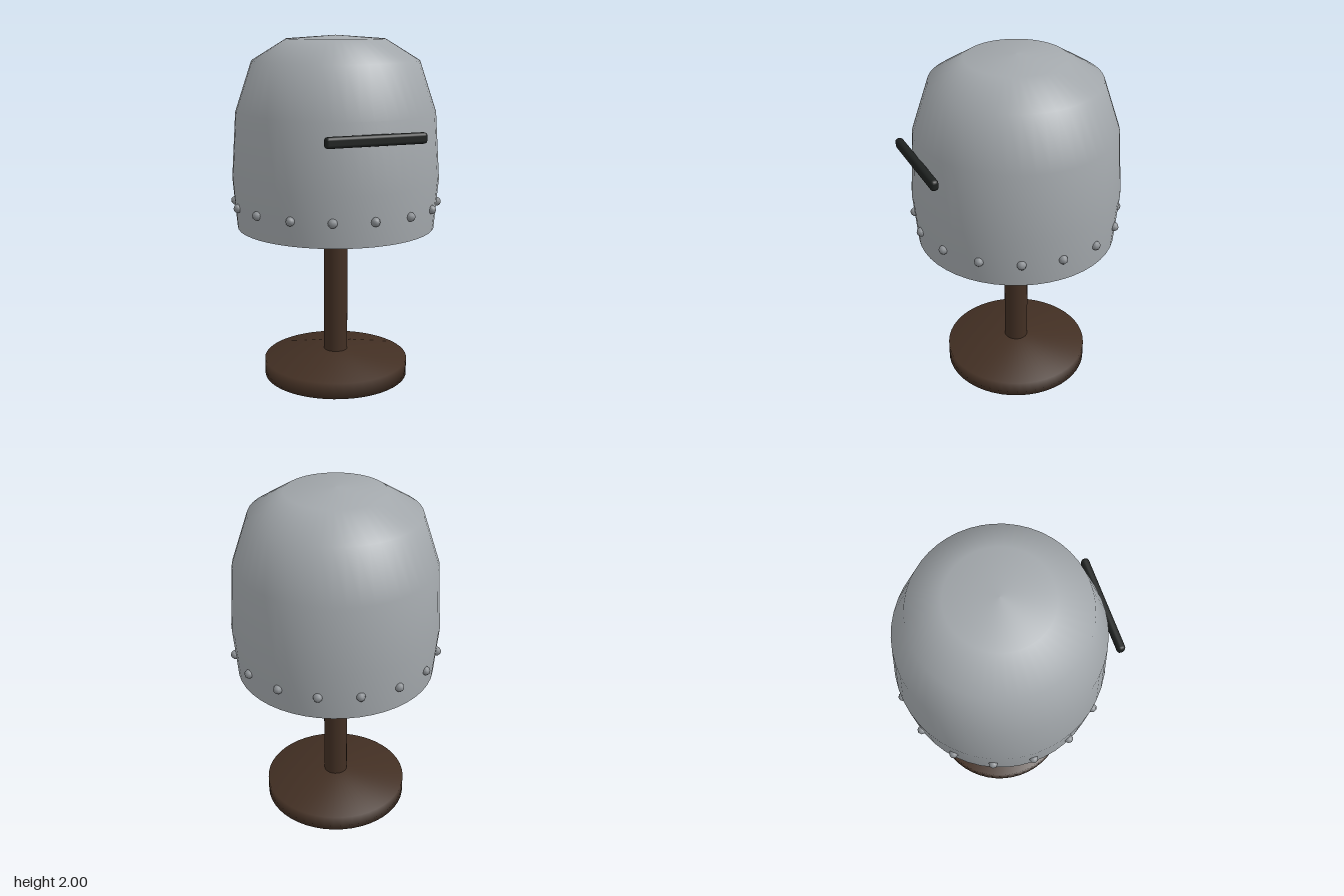
import * as THREE from 'three';
import { RoundedBoxGeometry } from 'three/addons/geometries/RoundedBoxGeometry.js';

const material = (name, color, side = THREE.FrontSide) => {
  const m = new THREE.MeshStandardMaterial({ color, side });
  m.name = name;
  return m;
};

export function createModel() {
  const model = new THREE.Group();
  model.name = 'helmetOnStand';

  const steel = material('steel', 0xa3a8ac);
  const lining = material('pale lining', 0xc0c4c8);
  const rivetSteel = material('rivet steel', 0x8a8e92);
  const slitBlack = material('slit black', 0x1e2120);
  const formBlack = material('head form black', 0x1f1f1f);
  const wood = material('dark wood', 0x422f23);

  const add = (name, geometry, mat, parent = model) => {
    const mesh = new THREE.Mesh(geometry, mat);
    mesh.name = name;
    parent.add(mesh);
    return mesh;
  };
  // Profiles run from bottom to top so the faces point outwards
  const lathe = (points, segments = 48) =>
    new THREE.LatheGeometry(points.map(([r, y]) => new THREE.Vector2(r, y)), segments);

  // Wooden stand: low conical foot and a straight post
  add('standFoot', lathe([[0, 0], [0.425, 0], [0.425, 0.095], [0.07, 0.145], [0, 0.155]]), wood);
  const post = add('standPost', new THREE.CylinderGeometry(0.07, 0.07, 0.74, 24), wood);
  post.position.y = 0.5;

  // Round head form inside the helmet
  const form = add('headForm', new THREE.SphereGeometry(0.42, 32, 12), formBlack);
  form.position.y = 1.23;

  // Helmet shell, inner lining and the rim between them
  const outer = [[0.57, 0.91], [0.595, 1.2], [0.57, 1.575], [0.475, 1.86], [0.28, 1.98], [0, 2]];
  const wall = 0.018;
  const inner = outer.map(([r, y], i) => [Math.max(0, r - wall), i > 2 ? y - wall : y]);
  add('helmetShell', lathe(outer), steel);
  add('helmetLining', lathe([...inner].reverse()), lining);
  add('helmetRim', lathe([inner[0], outer[0]]), steel);

  // Dark eye slit across the front
  const slit = add('eyeSlit', new RoundedBoxGeometry(0.57, 0.06, 0.045, 2, 0.018), slitBlack);
  slit.position.set(0, 1.48, 0.588);

  // Ring of rivets above the rim
  const rivets = new THREE.Group();
  rivets.name = 'rivets';
  model.add(rivets);
  const rivetGeometry = new THREE.SphereGeometry(0.026, 8, 6);
  for (let i = 0; i < 16; i++) {
    const a = (i / 16) * Math.PI * 2;
    const rivet = add('rivet', rivetGeometry, rivetSteel, rivets);
    rivet.position.set(Math.sin(a) * 0.585, 1.05, Math.cos(a) * 0.585);
    rivet.rotation.y = a;
  }
  return model;
}
